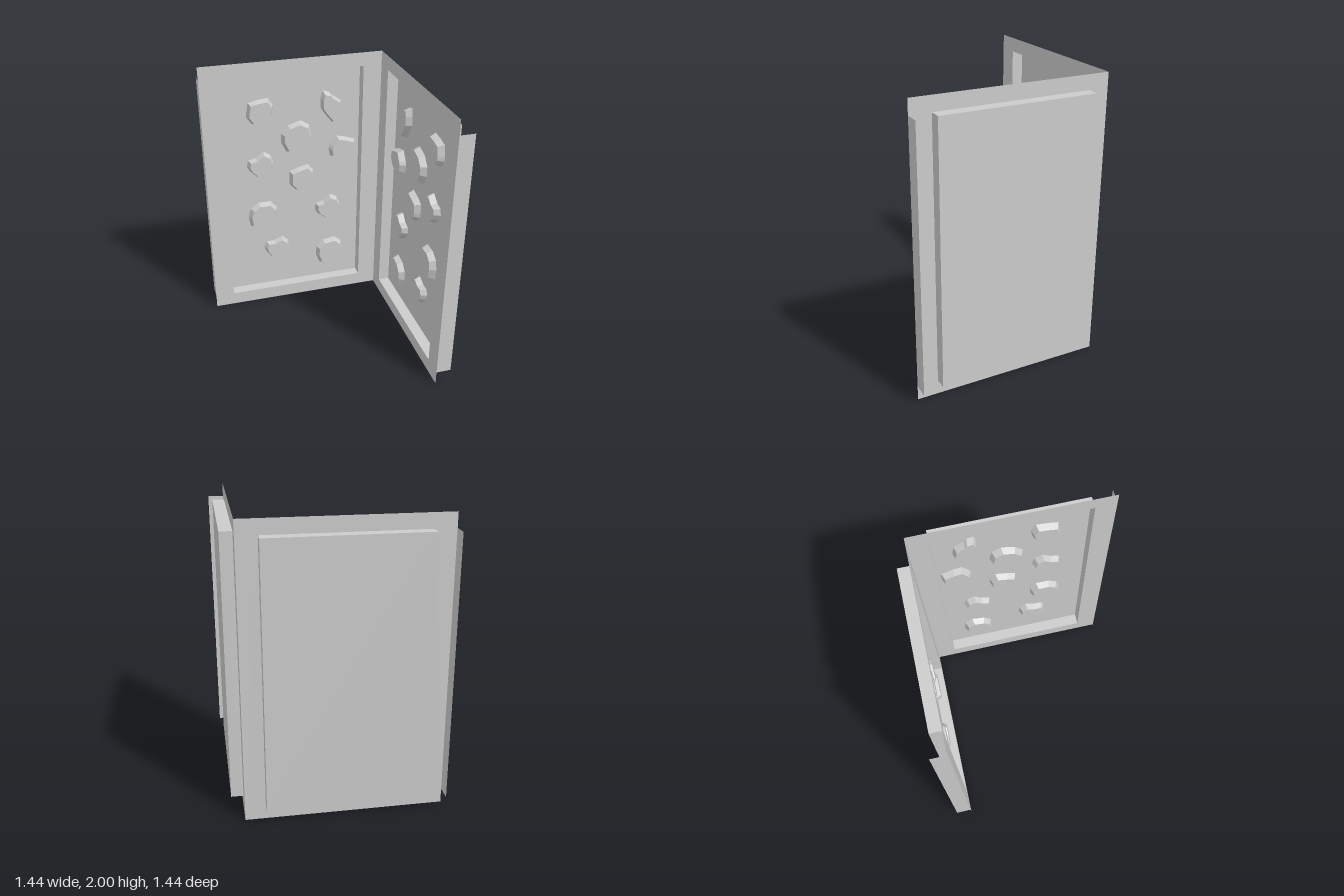
import * as THREE from 'three';

const material = new THREE.MeshStandardMaterial({ color: 0xcccccc, flatShading: true, side: THREE.DoubleSide });

// Panel measures: sheet from the free edge to the hinge, with a recessed tray
const FREE = -0.72, HINGE = 0.614, HEIGHT = 2, SHEET_Z = -0.614;
const TRAY = { x0: -0.577, x1: 0.477, y0: 0.1, y1: 1.9, depth: 0.082 };
const FLOOR_Z = SHEET_Z - TRAY.depth;
const FLANGE = 0.106;

// Clockwise outlines of the four kinds of bump
const OUTLINES = {
  round: [[-.095, -.01], [-.08, .07], [-.02, .085], [.07, .095], [.105, .037], [.095, -.03], [.058, -.07], [-.058, -.095], [-.095, -.04]],
  drop: [[-.1, -.1], [-.113, -.016], [-.093, .053], [-.029, .095], [.066, .095], [.114, .037], [.108, -.048], [.045, -.095], [-.024, -.085]],
  heart: [[-.1, -.005], [-.09, .04], [-.03, .055], [.03, .1], [.085, .065], [.105, .005], [.075, -.08], [-.027, -.1], [-.08, -.05]],
  long: [[-.07, .127], [-.02, .115], [0, .09], [.07, .042], [.085, -.042], [.07, -.106], [.005, -.127], [-.053, -.053], [-.085, 0], [-.085, .074]],
};

// kind, x, y, turn, width and height factors
const BUMPS = [
  ['round', -.29, 1.605, 0, 1, 1],
  ['long', .26, 1.585, 0, 1, 1],
  ['drop', -.02, 1.385, .3, 1.07, 1.02],
  ['heart', -.3, 1.18, 0, 1, 1],
  ['round', .342, 1.243, -.45, 1, 1],
  ['round', .016, 1.03, .14, 1, 1],
  ['drop', -.295, .757, 0, 1, 1],
  ['heart', .225, .746, .1, 1, 1],
  ['heart', -.195, .437, -.2, 1, .95],
  ['drop', .24, .342, .2, 1, 1],
];

// Flat sheet with the tray opening cut out
function sheetGeometry() {
  const rect = (P, x0, y0, x1, y1) => new P([[x0, y0], [x1, y0], [x1, y1], [x0, y1]].map(p => new THREE.Vector2(...p)));
  const shape = rect(THREE.Shape, FREE, 0, HINGE, HEIGHT);
  shape.holes.push(rect(THREE.Path, TRAY.x0, TRAY.y0, TRAY.x1, TRAY.y1));
  return new THREE.ShapeGeometry(shape).translate(0, 0, SHEET_Z);
}

// Open tray: a box without its front face
function trayGeometry() {
  const { x0, x1, y0, y1, depth } = TRAY;
  const g = new THREE.BoxGeometry(x1 - x0, y1 - y0, depth);
  const index = Array.from(g.index.array);
  index.splice(24, 6);
  g.setIndex(index);
  g.clearGroups();
  return g.translate((x0 + x1) / 2, (y0 + y1) / 2, SHEET_Z - depth / 2);
}

// Folded strip along the free edge
function flangeGeometry() {
  return new THREE.PlaneGeometry(FLANGE, TRAY.y1 - TRAY.y0).rotateY(-Math.PI / 2)
    .translate(FREE, HEIGHT / 2, SHEET_Z - FLANGE / 2);
}

// Raised bump: sloping rim and a flat cap
function bumpGeometry([kind, x, y, turn, w, h]) {
  const outline = OUTLINES[kind], rise = 0.045, inset = 0.82, n = outline.length;
  const ring = (s, z) => outline.map(([px, py]) => [px * s, py * s, z]);
  const positions = [...ring(1, 0), ...ring(inset, rise), [0, 0, rise]].flat();
  const index = [];
  for (let i = 0; i < n; i++) {
    const j = (i + 1) % n;
    index.push(i, n + i, j, j, n + i, n + j, n + j, n + i, 2 * n);
  }
  const g = new THREE.BufferGeometry();
  g.setAttribute('position', new THREE.Float32BufferAttribute(positions, 3));
  g.setIndex(index);
  return g.scale(w, h, 1).rotateZ(turn).translate(x, y, FLOOR_Z);
}

// Mirror a geometry onto the other panel: x and z swap with a change of sign
function mirror(g) {
  const p = g.attributes.position;
  for (let i = 0; i < p.count; i++) p.setXYZ(i, -p.getZ(i), p.getY(i), -p.getX(i));
  const index = g.index.array;
  for (let i = 0; i < index.length; i += 3) [index[i + 1], index[i + 2]] = [index[i + 2], index[i + 1]];
  return g;
}

function makePanel(name, mirrored) {
  const panel = new THREE.Group();
  panel.name = name;
  const add = (part, geometry) => {
    const g = (mirrored ? mirror(geometry) : geometry).toNonIndexed();
    g.computeVertexNormals();
    const mesh = new THREE.Mesh(g, material);
    mesh.name = part;
    panel.add(mesh);
  };
  add('sheet', sheetGeometry());
  add('tray', trayGeometry());
  add('edgeFlange', flangeGeometry());
  BUMPS.forEach((b, i) => add(`bump${i + 1}`, bumpGeometry(b)));
  return panel;
}

export function createModel() {
  const model = new THREE.Group();
  model.name = 'hingedTray';
  model.add(makePanel('backPanel', false), makePanel('leftPanel', true));
  return model;
}
